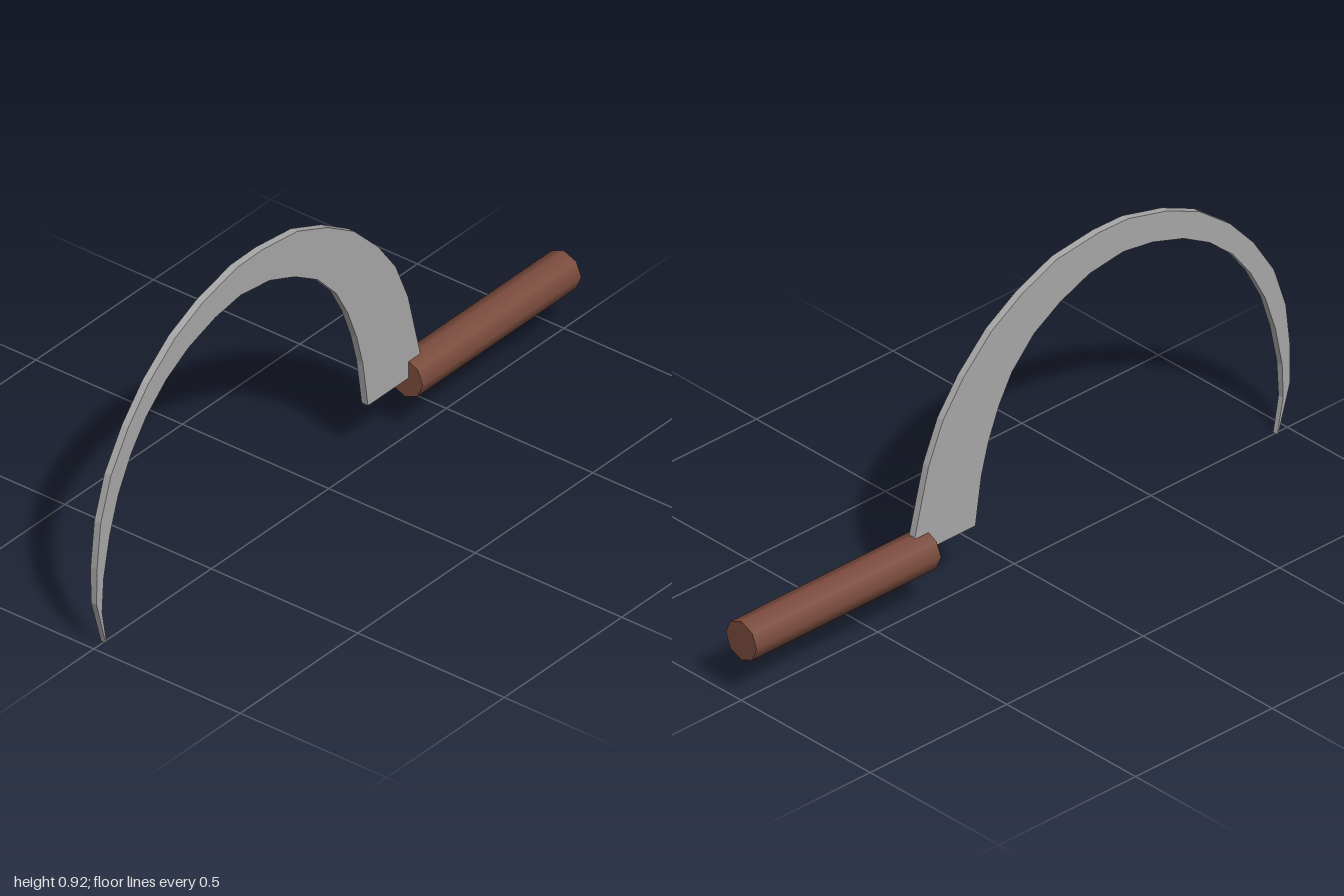
import * as THREE from 'three';

export function createModel() {
  const model = new THREE.Group();
  const steel = new THREE.MeshStandardMaterial({ color: 0xa8a8a8 });
  steel.name = 'steel';
  const wood = new THREE.MeshStandardMaterial({ color: 0x7a4b3c });
  wood.name = 'wood';

  // Handle: octagonal rod lying along z
  const handleGeo = new THREE.CylinderGeometry(0.06, 0.06, 0.675, 8);
  handleGeo.rotateX(Math.PI / 2);
  const handle = new THREE.Mesh(handleGeo, wood);
  handle.name = 'handle';
  handle.position.set(0, 0.187, -0.6625);
  model.add(handle);

  // Blade outline as (z, y): back edge from the handle to the tip, then the cutting edge back
  const backEdge = [
    [-0.38, 0.19], [-0.374, 0.25], [-0.324, 0.449], [-0.271, 0.572], [-0.196, 0.674],
    [-0.094, 0.775], [0.019, 0.845], [0.147, 0.898], [0.298, 0.916], [0.405, 0.914],
    [0.55, 0.877], [0.668, 0.824], [0.78, 0.738], [0.866, 0.642], [0.941, 0.524],
    [0.984, 0.396], [1, 0.257], [1, 0.144], [0.959, 0],
  ];
  const cuttingEdge = [
    [0.955, 0], [0.976, 0.107], [0.971, 0.214], [0.946, 0.337], [0.909, 0.449],
    [0.855, 0.551], [0.791, 0.636], [0.705, 0.711], [0.609, 0.765], [0.496, 0.802],
    [0.389, 0.818], [0.265, 0.802], [0.158, 0.759], [0.062, 0.701], [-0.019, 0.615],
    [-0.067, 0.529], [-0.105, 0.433], [-0.131, 0.337], [-0.153, 0.19],
  ];
  const outline = [...backEdge, ...cuttingEdge].map(([z, y]) => new THREE.Vector2(z, y));
  const bladeGeo = new THREE.ExtrudeGeometry(new THREE.Shape(outline), { depth: 0.022, bevelEnabled: false });
  bladeGeo.translate(0, 0, -0.011);
  bladeGeo.rotateY(-Math.PI / 2);

  // Thin the blade slightly toward its tip
  const pos = bladeGeo.attributes.position;
  for (let i = 0; i < pos.count; i++) {
    if (pos.getZ(i) > 0.9 && pos.getY(i) < 0.25) {
      pos.setX(i, pos.getX(i) * (0.72 + 0.28 * pos.getY(i) / 0.25));
    }
  }
  bladeGeo.computeVertexNormals();
  const blade = new THREE.Mesh(bladeGeo, steel);
  blade.name = 'blade';
  model.add(blade);

  return model;
}
